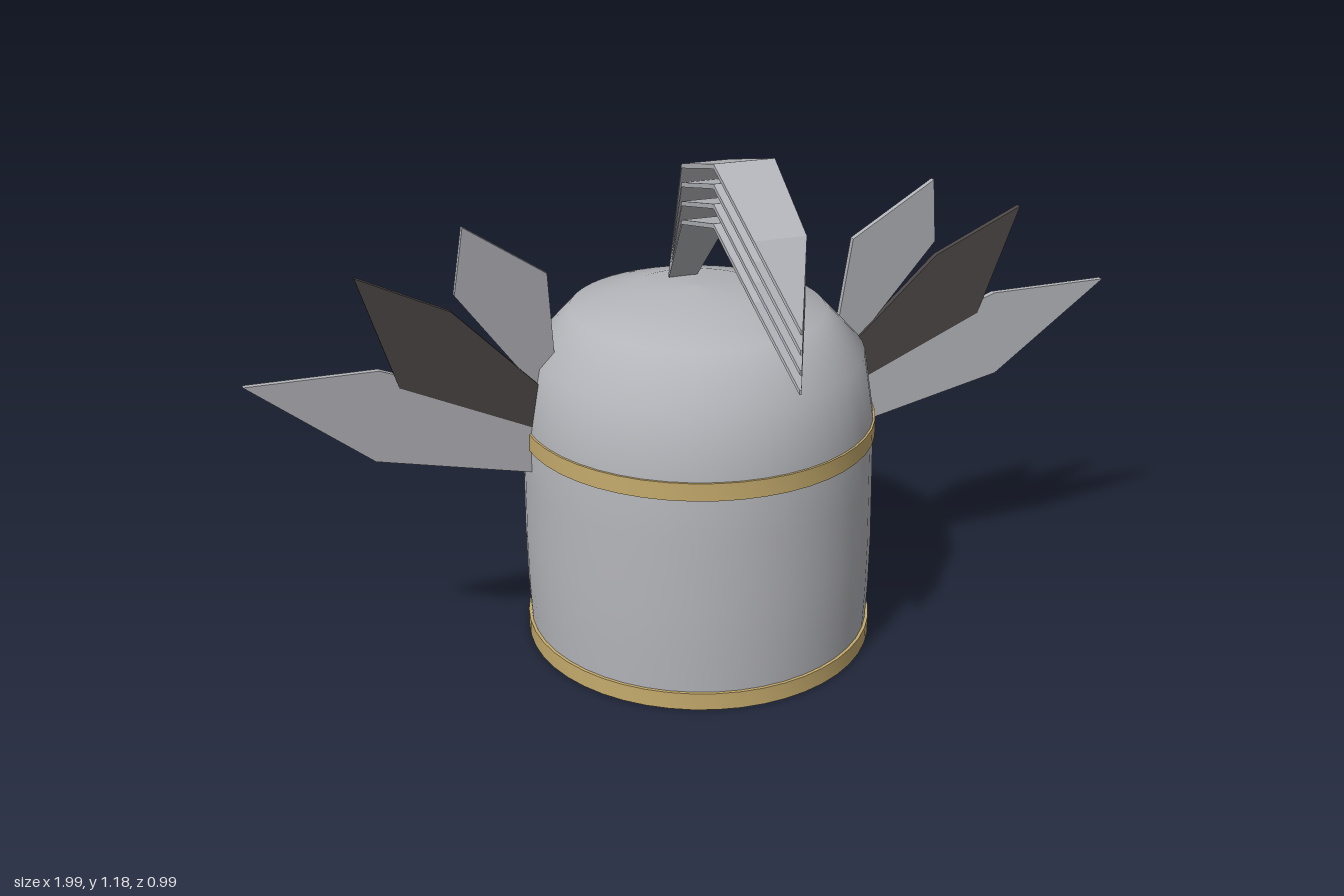
import * as THREE from 'three';
import { toCreasedNormals } from 'three/addons/utils/BufferGeometryUtils.js';

const steel = new THREE.MeshStandardMaterial({ color: 0xb4b5ba, side: THREE.DoubleSide });
steel.name = 'steel';
const gold = new THREE.MeshStandardMaterial({ color: 0xc4aa6c });
gold.name = 'gold';
const dark = new THREE.MeshStandardMaterial({ color: 0x4c4646 });
dark.name = 'dark';

const CENTER_Z = -0.08;
const SQUASH_X = 0.964; // the helmet is slightly narrower than deep

function addMesh(parent, name, geometry, material, x = 0, y = 0, z = 0) {
  const mesh = new THREE.Mesh(geometry, material);
  mesh.name = name;
  mesh.position.set(x, y, z);
  parent.add(mesh);
  return mesh;
}

// Flat metal hoop around the helmet, from height y to y + height
function hoop(y, height) {
  const shape = new THREE.Shape().absarc(0, 0, 0.415, 0, Math.PI * 2);
  shape.holes.push(new THREE.Path().absarc(0, 0, 0.397, 0, Math.PI * 2, true));
  const g = new THREE.ExtrudeGeometry(shape, { depth: height, bevelEnabled: false, curveSegments: 24 });
  g.rotateX(-Math.PI / 2).scale(SQUASH_X, 1, 1).translate(0, y, CENTER_Z);
  return toCreasedNormals(g, 0.6);
}

// Flat feather plate whose outer end sweeps toward +z
function feather(points, side, zRoot, zTip) {
  const shape = new THREE.Shape(points.map(([x, y]) => new THREE.Vector2(x * side, y)));
  const g = new THREE.ExtrudeGeometry(shape, { depth: 0.014, bevelEnabled: false });
  const [root, tip] = [points[0], points[2]];
  const dx = tip[0] - root[0], dy = tip[1] - root[1];
  const p = g.attributes.position;
  for (let i = 0; i < p.count; i++) {
    const t = ((p.getX(i) * side - root[0]) * dx + (p.getY(i) - root[1]) * dy) / (dx * dx + dy * dy);
    p.setZ(i, p.getZ(i) - 0.007 + zRoot + (zTip - zRoot) * t);
  }
  g.computeVertexNormals();
  return g;
}

// Bent ribbon: a box whose cross-sections follow [z, y, half width] stations
function plumeStrip(drop) {
  const stations = [
    [-0.18, 0.822, 0.033], [-0.025, 1.12 - drop, 0.055], [0.195, 1.173 - drop, 0.066],
    [0.387, 1.066 - drop, 0.055], [0.497, 0.916 - drop, 0.002],
  ];
  const g = new THREE.BoxGeometry(1, 0.01, 1, 1, 1, 4);
  const p = g.attributes.position;
  for (let i = 0; i < p.count; i++) {
    const [z, y, w] = stations[Math.round((p.getZ(i) + 0.5) * 4)];
    p.setXYZ(i, p.getX(i) * 2 * w, p.getY(i) + y, z);
  }
  return toCreasedNormals(g, 0.3);
}

export function createModel() {
  const model = new THREE.Group();
  model.name = 'helmet';

  // Open-bottomed shell with a rounded crown
  const profile = [
    [0.406, 0.005], [0.412, 0.13], [0.414, 0.25], [0.412, 0.4], [0.41, 0.54],
    [0.386, 0.69], [0.295, 0.785], [0.155, 0.822], [0, 0.832],
  ].map(([r, y]) => new THREE.Vector2(r, y));
  const shell = addMesh(model, 'shell', new THREE.LatheGeometry(profile, 48), steel, 0, 0, CENTER_Z);
  shell.scale.x = SQUASH_X;

  // Gold trim
  addMesh(model, 'rimBand', hoop(0, 0.04), gold);
  addMesh(model, 'browBand', hoop(0.5, 0.04), gold);
  addMesh(model, 'noseBar', new THREE.BoxGeometry(0.06, 0.57, 0.009), gold, 0, 0.425, -0.493);

  // Eye slots
  for (const side of [1, -1]) {
    addMesh(model, side > 0 ? 'leftEyeSlot' : 'rightEyeSlot',
      new THREE.BoxGeometry(0.19, 0.062, 0.0095), dark, side * 0.162, 0.39, -0.484);
  }

  // Zigzag row of breathing studs
  const studs = new THREE.Group();
  studs.name = 'breathingStuds';
  model.add(studs);
  const studGeometry = new THREE.SphereGeometry(0.012, 12, 8);
  for (let k = -7; k <= 7; k++) {
    addMesh(studs, 'stud', studGeometry, dark, k * 0.032, k % 2 ? 0.165 : 0.197, -0.481);
  }

  // Side feathers: root bottom, outer bottom, tip, outer top, root top
  const feathers = [
    ['longFeather', steel, -0.077, -0.012,
      [[0.37, 0.44], [0.74, 0.54], [0.997, 0.755], [0.72, 0.745], [0.36, 0.59]]],
    ['darkFeather', dark, -0.074, -0.012,
      [[0.36, 0.54], [0.68, 0.7], [0.76, 0.957], [0.563, 0.855], [0.36, 0.64]]],
    ['upperFeather', steel, -0.077, -0.012,
      [[0.36, 0.62], [0.555, 0.89], [0.535, 1.04], [0.354, 0.914], [0.335, 0.7]]],
  ];
  for (const side of [1, -1]) {
    const wing = new THREE.Group();
    wing.name = side > 0 ? 'leftWing' : 'rightWing';
    for (const [name, material, zRoot, zTip, points] of feathers) {
      addMesh(wing, name, feather(points, side, zRoot, zTip), material);
    }
    model.add(wing);
  }

  // Four stacked ribbons fanning out from the crown
  const plume = new THREE.Group();
  plume.name = 'plume';
  for (let i = 0; i < 4; i++) addMesh(plume, 'plumeStrip', plumeStrip(i * 0.041), steel);
  model.add(plume);

  return model;
}
